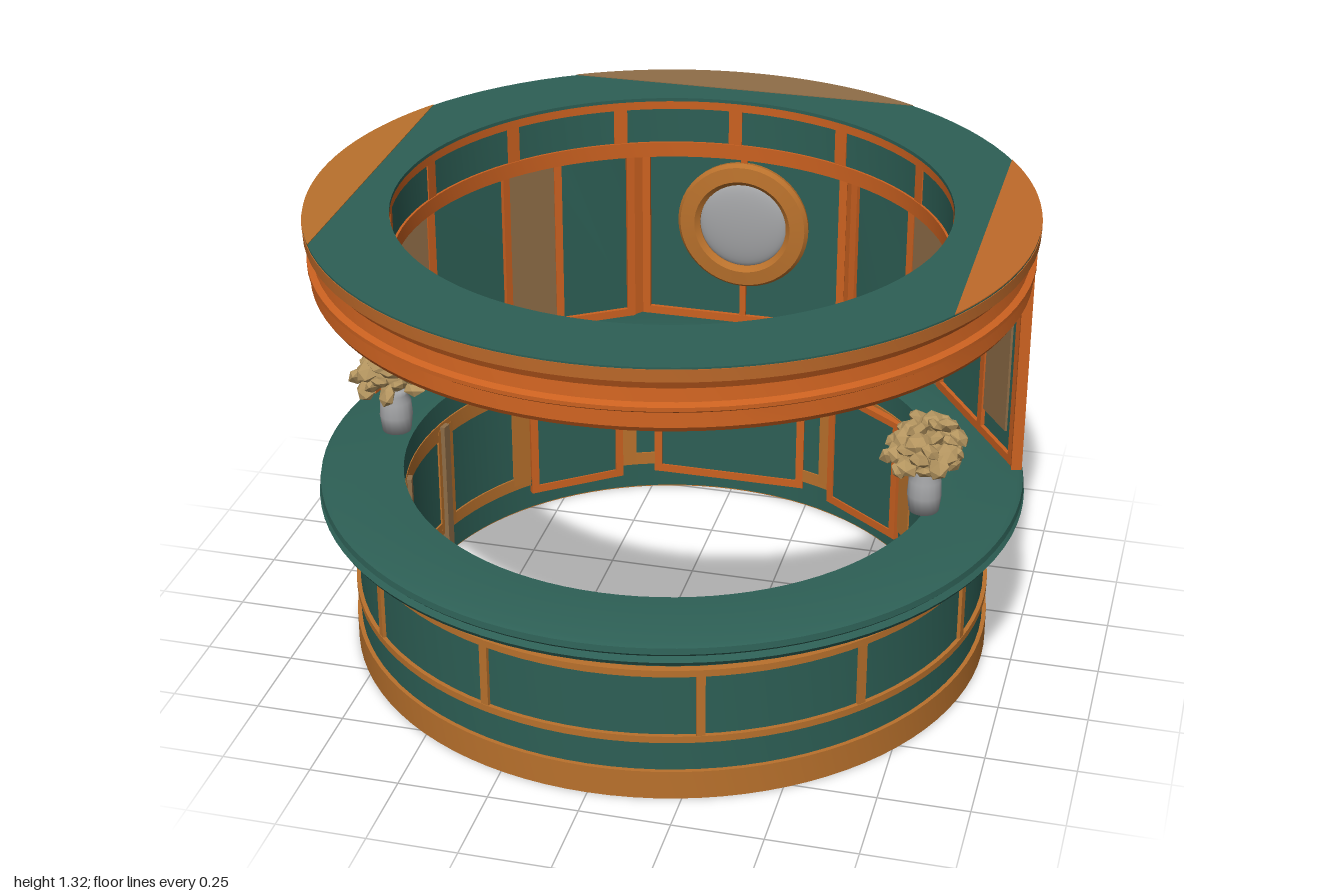
import * as THREE from 'three';
import { toCreasedNormals, mergeGeometries } from 'three/addons/utils/BufferGeometryUtils.js';

const paint = (name, hex) => {
  const m = new THREE.MeshStandardMaterial({ color: hex });
  m.name = name;
  return m;
};
const green = paint('deep green', 0x2d5f55);
const orange = paint('bright orange wood', 0xcb6120);
const amber = paint('amber wood', 0xbf6a2a);
const wood = paint('warm wood', 0xb9712c);
const brown = paint('dull brown wood', 0x8f6d47);
const olive = paint('olive', 0xcfc74c);
const grey = paint('grey', 0xa2a3a5);
const tan = paint('dried flower tan', 0xb3945f);
const RAD = Math.PI / 180;

export function createModel() {
  const root = new THREE.Group();
  const add = (name, geo, mat, parent = root) => {
    const mesh = new THREE.Mesh(geo, mat);
    mesh.name = name;
    parent.add(mesh);
    return mesh;
  };

  // Closed ring turned from an outer profile, running bottom to top, with a plain bore
  const ring = (name, mat, inner, profile) => {
    const last = profile[profile.length - 1], first = profile[0];
    const pts = [...profile, [inner, last[1]], [inner, first[1]], first];
    const geo = new THREE.LatheGeometry(pts.map(p => new THREE.Vector2(...p)), 96);
    return add(name, toCreasedNormals(geo, 0.5), mat);
  };
  const band = (name, mat, r0, r1, y0, y1) => ring(name, mat, r0, [[r1, y0], [r1, y1]]);

  // Upright bar at an angle measured from the front
  const post = (name, mat, deg, r, y0, y1, w, d) => {
    const mesh = add(name, new THREE.BoxGeometry(w, y1 - y0, d), mat);
    mesh.position.set(r * Math.sin(deg * RAD), (y0 + y1) / 2, r * Math.cos(deg * RAD));
    mesh.rotation.y = deg * RAD;
  };

  // Board lying along a line from a to b, between fractions t0 and t1
  const board = (name, mat, a, b, t0, t1, y0, y1, depth) => {
    const dx = b[0] - a[0], dz = b[1] - a[1], t = (t0 + t1) / 2;
    const geo = new THREE.BoxGeometry(Math.hypot(dx, dz) * (t1 - t0), y1 - y0, depth);
    const mesh = add(name, geo, mat);
    mesh.position.set(a[0] + dx * t, (y0 + y1) / 2, a[1] + dz * t);
    mesh.rotation.y = Math.atan2(-dz, dx);
  };
  const frame = (a, b, y0, y1) => {
    const w = 0.024 / Math.hypot(b[0] - a[0], b[1] - a[1]);
    board('topRail', orange, a, b, 0, 1, y1 - 0.02, y1, 0.024);
    board('bottomRail', orange, a, b, 0, 1, y0, y0 + 0.025, 0.024);
    board('framePost', orange, a, b, 0, w, y0, y1, 0.025);
    board('framePost', orange, a, b, 1 - w, 1, y0, y1, 0.025);
  };

  // Round base
  band('plinth', wood, 0.768, 0.915, 0, 0.085);
  band('lowerBase', green, 0.775, 0.903, 0.085, 0.18);
  band('lowerTrim', wood, 0.775, 0.912, 0.175, 0.195);
  band('panelBand', green, 0.775, 0.9, 0.195, 0.385);
  band('upperTrim', wood, 0.775, 0.912, 0.38, 0.4);
  band('baseNeck', green, 0.775, 0.89, 0.4, 0.435);
  band('neckTrim', wood, 0.775, 0.91, 0.43, 0.455);
  for (const a of [19, 48, 76, 103.5, 131, 159])
    for (const s of [1, -1]) post('panelDivider', wood, s * a, 0.9, 0.19, 0.385, 0.024, 0.02);

  // Inside of the base: green lining with wooden framing
  band('innerLining', green, 0.766, 0.78, 0.004, 0.46);
  band('innerLowerRail', wood, 0.761, 0.78, 0.085, 0.125);
  band('innerUpperRail', wood, 0.761, 0.78, 0.405, 0.458);
  for (let i = 0; i < 14; i++)
    post('innerPost', wood, i * 360 / 14, 0.767, 0.1, 0.44, 0.08, 0.016);
  for (const a of [48, 77, 102])
    for (const s of [1, -1]) post('innerPilaster', brown, s * a, 0.757, 0.03, 0.45, 0.03, 0.022);

  // Flat panels across the back of the base
  const flat = (a, b) => {
    board('basePanel', green, a, b, 0, 1, 0.06, 0.45, 0.014);
    frame(a, b, 0.06, 0.455);
  };
  flat([-0.24, -0.735], [0.24, -0.735]);
  for (const s of [1, -1]) flat([s * 0.335, -0.675], [s * 0.58, -0.492]);
  board('counterLip', green, [-0.23, -0.755], [0.23, -0.755], 0, 1, 0.455, 0.529, 0.05);

  // Counter
  ring('counterUnderside', olive, 0.775, [[0.905, 0.437], [0.975, 0.463], [0.975, 0.466]]);
  ring('counter', green, 0.762,
    [[0.972, 0.461], [0.99, 0.467], [1, 0.482], [0.988, 0.495], [0.998, 0.505], [0.995, 0.522], [0.98, 0.53]]);

  // Back wall: round outside, faceted inside
  const half = [[0.32, -0.905], [0.345, -0.875], [0.56, -0.735], [0.67, -0.62], [0.955, -0.185]];
  const outline = [];
  for (let i = 0; i <= 64; i++) {
    const a = (100 + 160 * i / 64) * RAD;
    outline.push(new THREE.Vector2(0.985 * Math.sin(a), -0.985 * Math.cos(a)));
  }
  for (const [x, z] of [...half].reverse()) outline.push(new THREE.Vector2(-x, -z));
  for (const [x, z] of half) outline.push(new THREE.Vector2(x, -z));
  const wallGeo = new THREE.ExtrudeGeometry(new THREE.Shape(outline),
    { depth: 0.62, bevelEnabled: false });
  wallGeo.rotateX(-Math.PI / 2).translate(0, 0.52, 0);
  add('backWall', toCreasedNormals(wallGeo, 0.3), green);

  const backLine = [[-0.32, -0.905], [0.32, -0.905]];
  frame(...backLine, 0.53, 1.135);
  for (const s of [1, -1]) {
    const p = half.map(([x, z]) => [s * x, z]);
    board('wallReturn', orange, p[0], p[1], 0, 1, 0.53, 1.135, 0.012);
    frame(p[1], p[2], 0.53, 1.135);
    board('pilaster', brown, p[2], p[3], 0, 1, 0.53, 1.135, 0.018);
    frame(p[3], p[4], 0.53, 1.135);
    board('sidePanel', brown, p[3], p[4], 0.6, 0.88, 0.61, 1.07, 0.014);
    board('sidePanelPost', orange, p[3], p[4], 0.55, 0.6, 0.55, 1.08, 0.024);
    board('sidePanelRail', orange, p[3], p[4], 0.55, 0.93, 1.065, 1.085, 0.024);
    // Trim on the outer end of the wall
    post('wallEndTrim', orange, s * 100.4, 0.976, 0.53, 1.135, 0.034, 0.03);
    const start = s > 0 ? 100 : 244;
    const sill = new THREE.CylinderGeometry(0.988, 0.988, 0.014, 16, 1, true, start * RAD, 16 * RAD);
    sill.translate(0, 0.552, 0);
    add('wallSill', sill, orange);
  }

  // Round mirror
  const mirrorRim = new THREE.LatheGeometry([[0.135, -0.02], [0.2, -0.02], [0.205, 0.012], [0.195, 0.025],
    [0.15, 0.03], [0.135, 0.015], [0.135, -0.02]].map(p => new THREE.Vector2(...p)), 48);
  mirrorRim.rotateX(Math.PI / 2).translate(0, 0.865, -0.9);
  add('mirrorRim', toCreasedNormals(mirrorRim, 0.6), wood);
  const glass = new THREE.SphereGeometry(0.138, 40, 10, 0, Math.PI * 2, 0, Math.PI / 2);
  glass.scale(1, 0.2, 1).rotateX(Math.PI / 2).translate(0, 0.865, -0.895);
  add('mirrorGlass', glass, grey);
  board('mirrorPostLower', orange, ...backLine, 0.485, 0.515, 0.54, 0.68, 0.022);
  board('mirrorPostUpper', orange, ...backLine, 0.485, 0.515, 1.05, 1.13, 0.022);

  // Canopy ring
  ring('canopy', orange, 0.775, [[0.975, 1.135], [0.985, 1.15], [0.982, 1.19], [0.992, 1.197],
    [0.992, 1.208], [0.975, 1.215], [0.97, 1.25], [0.982, 1.275]]);
  ring('canopyCornice', amber, 0.775, [[0.982, 1.274], [0.998, 1.28], [1, 1.315]]);
  band('canopyTop', green, 0.765, 0.998, 1.31, 1.32);
  band('canopyLining', green, 0.77, 0.78, 1.14, 1.315);
  band('liningLowerRail', orange, 0.763, 0.78, 1.134, 1.18);
  band('liningUpperRail', orange, 0.766, 0.78, 1.285, 1.312);
  for (let i = 0; i < 14; i++)
    post('liningPost', orange, i * 360 / 14, 0.773, 1.15, 1.31, 0.04, 0.014);

  // Wooden segments let into the canopy top
  const segment = (name, mat, deg, chord) => {
    const a = Math.acos(chord / 0.998);
    const shape = new THREE.Shape();
    shape.absarc(0, 0, 0.998, -a, a, false);
    const geo = new THREE.ExtrudeGeometry(shape, { depth: 0.003, bevelEnabled: false, curveSegments: 40 });
    geo.rotateX(-Math.PI / 2).rotateY(deg * RAD).translate(0, 1.319, 0);
    add(name, geo, mat);
  };
  segment('leftInlay', amber, 0, 0.855);
  segment('backInlay', brown, 90, 0.855);
  segment('rightInlay', wood, 180, 0.855);

  // Vases of dried flowers
  let seed = 7;
  const rand = () => (seed = (seed * 16807) % 2147483647) / 2147483647;
  const vase = (x, z) => {
    const g = new THREE.Group();
    g.name = 'flowerVase';
    g.position.set(x, 0.53, z);
    root.add(g);
    const profile = [[0, 0], [0.042, 0], [0.048, 0.05], [0.045, 0.095], [0.034, 0.115], [0.038, 0.135], [0, 0.13]];
    add('vase', new THREE.LatheGeometry(profile.map(p => new THREE.Vector2(...p)), 16), grey, g);
    const blooms = [];
    for (let i = 0; i < 36; i++) {
      const up = 1 - 1.4 * (i + 0.5) / 36, a = i * 2.4, r = Math.sqrt(1 - up * up);
      const size = 0.026 + 0.012 * rand(), reach = 0.8 + 0.22 * rand();
      const bloom = new THREE.IcosahedronGeometry(size, 0);
      bloom.scale(1, 0.55, 1).rotateX(rand() * 2 - 1).rotateZ(rand() * 2 - 1);
      bloom.translate(0.098 * r * Math.cos(a) * reach, 0.185 + 0.08 * up * reach, 0.115 * r * Math.sin(a) * reach);
      blooms.push(bloom);
    }
    const core = new THREE.IcosahedronGeometry(0.07, 1);
    core.scale(1, 0.75, 1.1).translate(0, 0.185, 0);
    add('flowers', mergeGeometries([...blooms, core]), tan, g);
  };
  vase(0.745, 0.12);
  vase(-0.815, 0.035);

  return root;
}
